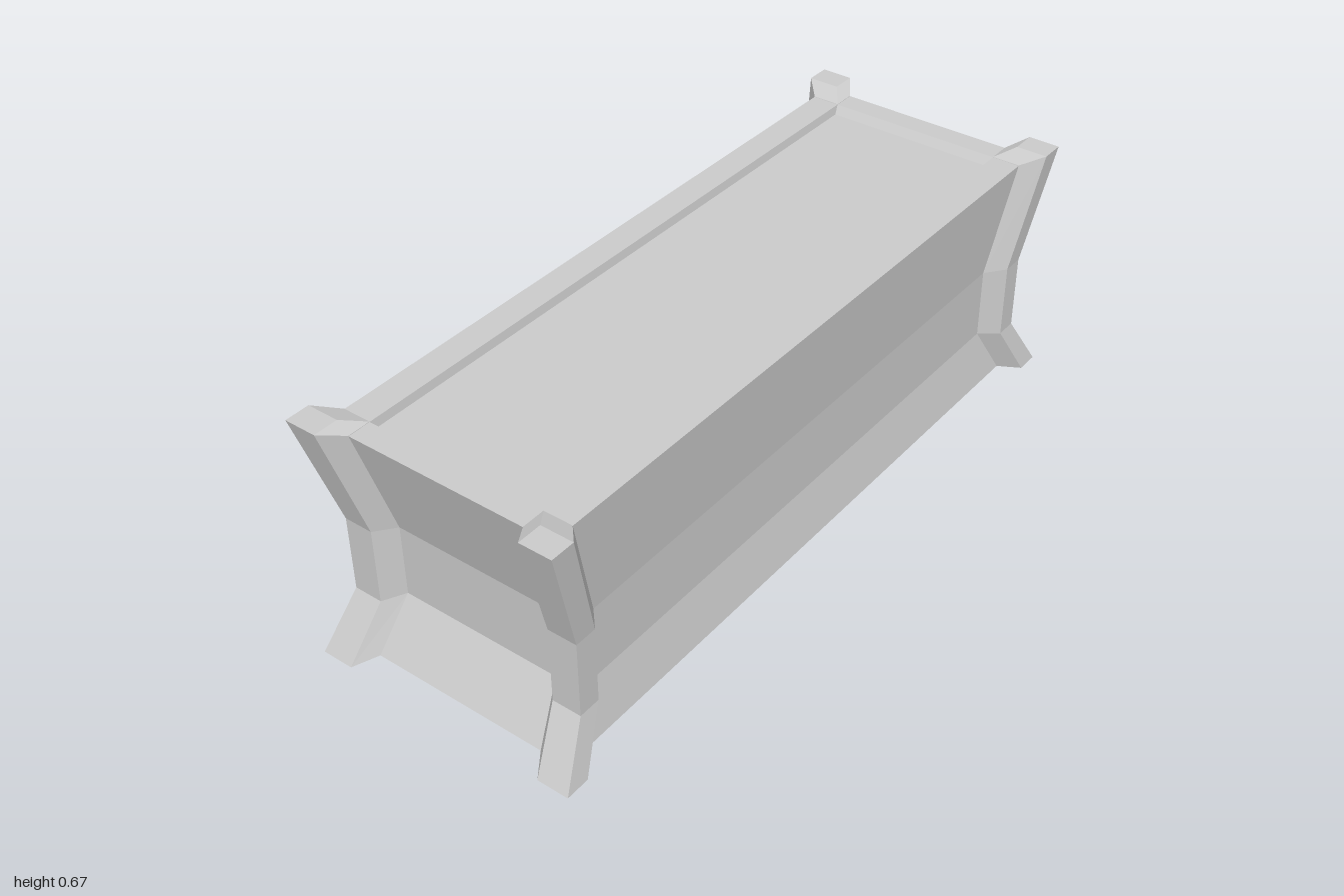
import * as THREE from 'three';

const material = new THREE.MeshStandardMaterial({ color: 0xcccccc, flatShading: true });

// Skins a stack of rings (counter-clockwise from above), with a fan cap around each end centre.
function loft(name, rings, firstCentre, lastCentre) {
  const pos = [];
  const tri = (a, b, c) => pos.push(...a, ...b, ...c);
  const n = rings[0].length;
  const last = rings[rings.length - 1];
  for (let i = 0; i < n; i++) {
    const j = (i + 1) % n;
    for (let k = 0; k + 1 < rings.length; k++) {
      const a = rings[k], b = rings[k + 1];
      tri(a[i], a[j], b[j]);
      tri(a[i], b[j], b[i]);
    }
    tri(firstCentre, rings[0][j], rings[0][i]);
    tri(lastCentre, last[i], last[j]);
  }
  const geometry = new THREE.BufferGeometry();
  geometry.setAttribute('position', new THREE.Float32BufferAttribute(pos, 3));
  geometry.computeVertexNormals();
  const mesh = new THREE.Mesh(geometry, material);
  mesh.name = name;
  return mesh;
}

const WAIST = 0.909; // how far the middle is drawn in

// Rectangular trough: waisted outside, flat rim, shallow recess with a floor
function makeTrough() {
  const levels = [ // half width, half depth, height
    [0.943, 0.316, 0.016],
    [0.943 * WAIST, 0.316 * WAIST, 0.157],
    [0.943 * WAIST, 0.316 * WAIST, 0.351],
    [0.943, 0.316, 0.647],
    [0.882, 0.241, 0.647],
    [0.866, 0.237, 0.625],
  ];
  const rings = levels.map(([w, d, y]) => [[w, y, d], [w, y, -d], [-w, y, -d], [-w, y, d]]);
  return loft('trough', rings, [0, 0.016, 0], [0, 0.625, 0]);
}

// Corner post: chamfered section following the waist, its ends sloping in to the trough
function makePost(name, sx, sz) {
  const section = [ // x, z, touches the trough
    [1, 0.365, false], [0.935, 0.365, false], [0.882, 0.316, true],
    [0.882, 0.241, true], [0.943, 0.241, true], [1, 0.28, false],
  ];
  if (sx * sz > 0) section.reverse();
  const levels = [ // outer height, inner height, scale
    [0, 0.016, 1], [0.15, 0.157, WAIST], [0.355, 0.351, WAIST], [0.667, 0.648, 1],
  ];
  const rings = levels.map(([outer, inner, s]) =>
    section.map(([x, z, touching]) => [sx * x * s, touching ? inner : outer, sz * z * s]));
  const centre = (y) => [sx * 0.935, y, sz * 0.28];
  return loft(name, rings, centre(0), centre(0.667));
}

export function createModel() {
  const model = new THREE.Group();
  model.name = 'planter';
  model.add(makeTrough());
  for (const sx of [1, -1]) {
    for (const sz of [1, -1]) {
      const name = (sz > 0 ? 'front' : 'back') + (sx > 0 ? 'Left' : 'Right') + 'Post';
      model.add(makePost(name, sx, sz));
    }
  }
  return model;
}
